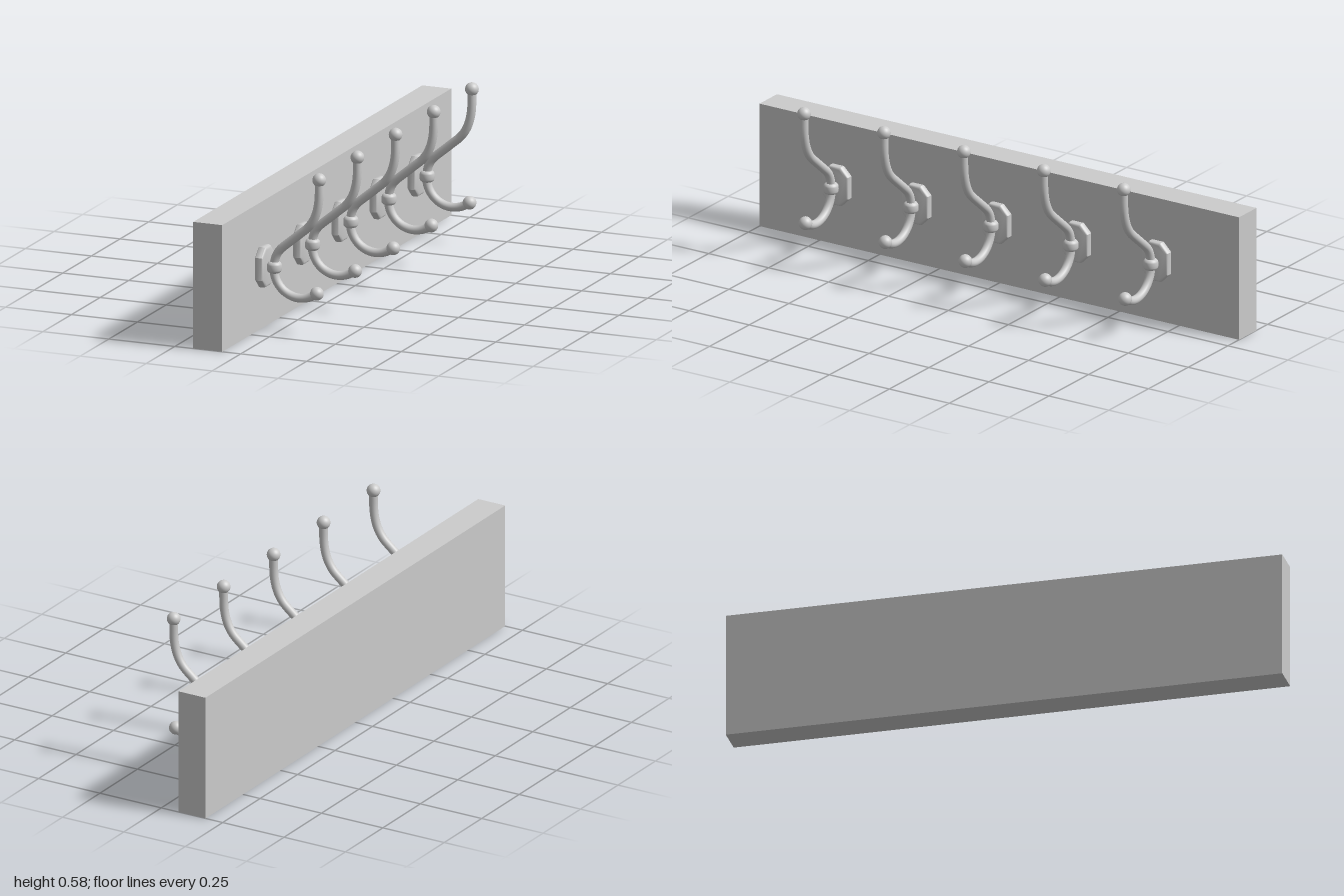
import * as THREE from 'three';
import { toCreasedNormals } from 'three/addons/utils/BufferGeometryUtils.js';

const material = new THREE.MeshStandardMaterial({ color: 0xcccccc });
const V = (x, y) => new THREE.Vector3(x, y, 0);

function add(parent, name, geometry, x = 0, y = 0, z = 0) {
  const mesh = new THREE.Mesh(geometry, material);
  mesh.name = name;
  mesh.position.set(x, y, z);
  parent.add(mesh);
  return mesh;
}

// Octagonal plate with softened edges, its thickness along x
function plateGeometry() {
  const bevel = 0.01, w = 0.055 - bevel, h = 0.0725 - bevel, c = 0.026, depth = 0.032;
  const shape = new THREE.Shape([
    [w, h - c], [w - c, h], [c - w, h], [-w, h - c],
    [-w, c - h], [c - w, -h], [w - c, -h], [w, c - h],
  ].map(([x, y]) => new THREE.Vector2(x, y)));
  const geometry = new THREE.ExtrudeGeometry(shape, {
    depth: depth - 2 * bevel, bevelEnabled: true,
    bevelThickness: bevel, bevelSize: bevel, bevelSegments: 4,
  });
  geometry.translate(0, 0, bevel).rotateY(Math.PI / 2);
  return toCreasedNormals(geometry, 0.6);
}

// Rounded ring that binds the two arms to the plate
function collarGeometry() {
  const r = 0.027, h = 0.021, round = 0.016;
  const profile = [new THREE.Vector2(0, -h)];
  for (let i = 0; i <= 12; i++) {
    const a = -Math.PI / 2 + (Math.PI * i) / 12;
    const side = i < 6 ? -1 : i > 6 ? 1 : 0;
    profile.push(new THREE.Vector2(r - round + round * Math.cos(a),
      side * (h - round) + round * Math.sin(a)));
  }
  profile.push(new THREE.Vector2(0, h));
  return new THREE.LatheGeometry(profile, 32);
}

// Upper arm: bends outward, runs straight, then bends upright
function upperArmPath() {
  const path = new THREE.CurvePath();
  path.add(new THREE.CubicBezierCurve3(V(-0.018, 0.225), V(-0.018, 0.26), V(-0.008, 0.285), V(0.018, 0.307)));
  path.add(new THREE.LineCurve3(V(0.018, 0.307), V(0.098, 0.373)));
  path.add(new THREE.CubicBezierCurve3(V(0.098, 0.373), V(0.138, 0.406), V(0.153, 0.455), V(0.153, 0.52)));
  path.add(new THREE.LineCurve3(V(0.153, 0.52), V(0.153, 0.56)));
  return path;
}

// Lower arm: a circular sweep beneath the collar
function lowerArmPath() {
  const points = [];
  for (let i = 0; i <= 16; i++) {
    const a = Math.PI + (i / 16) * 2.3;
    points.push(V(0.079 + 0.098 * Math.cos(a), 0.225 + 0.098 * Math.sin(a)));
  }
  return new THREE.CatmullRomCurve3(points);
}

export function createModel() {
  const model = new THREE.Group();
  model.name = 'coatRack';

  add(model, 'backBoard', new THREE.BoxGeometry(0.11, 0.456, 2), -0.125, 0.228, 0);

  const plate = plateGeometry();
  const collar = collarGeometry();
  const ball = new THREE.SphereGeometry(0.024, 24, 16);
  const upperArm = new THREE.TubeGeometry(upperArmPath(), 48, 0.0155, 16);
  const lowerArm = new THREE.TubeGeometry(lowerArmPath(), 32, 0.0155, 16);

  // Five evenly spaced double hooks
  for (let i = -2; i <= 2; i++) {
    const hook = new THREE.Group();
    hook.name = 'hook';
    hook.position.z = i / 3;
    add(hook, 'mountingPlate', plate, -0.07, 0.2295, 0);
    add(hook, 'collar', collar, -0.017, 0.229, 0);
    add(hook, 'upperArm', upperArm);
    add(hook, 'lowerArm', lowerArm);
    add(hook, 'upperBall', ball, 0.153, 0.56, 0);
    add(hook, 'lowerBall', ball, 0.144, 0.15, 0);
    model.add(hook);
  }
  return model;
}
